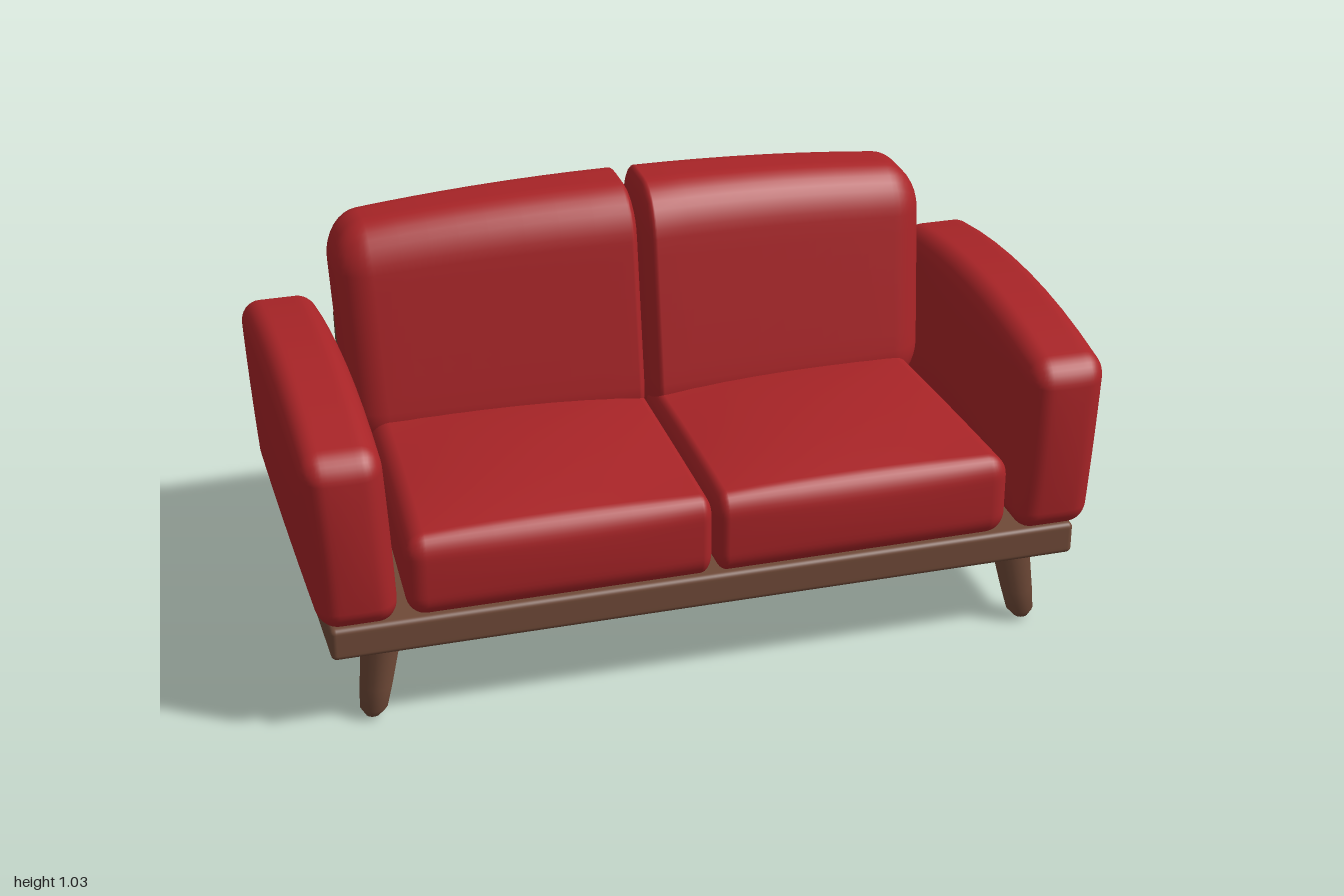
import * as THREE from 'three';
import { mergeVertices } from 'three/addons/utils/BufferGeometryUtils.js';

const red = new THREE.MeshStandardMaterial({ color: 0xa82427 });
red.name = 'red upholstery';
const brown = new THREE.MeshStandardMaterial({ color: 0x704a38 });
brown.name = 'brown wood';

// Rounded block between [lo, hi] limits on each axis. x is measured outward on the
// given side (1 = left, -1 = right). r = [inner x, outer x, y, z] corner radii.
// warp(p, n) bends point p, with n its place in the block from -1 to 1.
function softBlock(x, y, z, r, side = 1, warp = () => {}) {
  let geometry = new THREE.BoxGeometry(2, 2, 2, 16, 16, 16);
  geometry.deleteAttribute('uv');
  geometry.deleteAttribute('normal');
  const pos = geometry.attributes.position;
  const limits = [x, y, z];
  const radii = [[r[0], r[1]], [r[2], r[2]], [r[3], r[3]]];
  for (let i = 0; i < pos.count; i++) {
    const grid = [side * pos.getX(i), pos.getY(i), pos.getZ(i)];
    const edge = new THREE.Vector3();
    const core = [], rad = [];
    grid.forEach((t, k) => {
      const [lo, hi] = limits[k];
      const a = Math.abs(t), s = Math.sign(t);
      rad[k] = radii[k][t < 0 ? 0 : 1];
      core[k] = (lo + hi) / 2 + s * Math.min(1, a * 2) * ((hi - lo) / 2 - rad[k]);
      edge.setComponent(k, s * Math.tan(Math.max(0, a * 2 - 1) * Math.PI / 4));
    });
    edge.normalize();
    const p = new THREE.Vector3(...core.map((c, k) => c + edge.getComponent(k) * rad[k]));
    const n = new THREE.Vector3(...limits.map(([lo, hi], k) =>
      (2 * p.getComponent(k) - lo - hi) / (hi - lo)));
    warp(p, n);
    pos.setXYZ(i, side * p.x, p.y, p.z);
  }
  geometry = mergeVertices(geometry, 1e-5);
  geometry.computeVertexNormals();
  return geometry;
}

const bulge = (a, b = 0) => (1 - a * a) * (1 - b * b);

// Arm: leans outward, domed along its top, back edge slopes
function armGeometry(side) {
  return softBlock([0.772, 0.965], [0.3, 0.748], [-0.475, 0.485], [0.05, 0.05, 0.055, 0.055], side, (p, n) => {
    const up = (n.y + 1) / 2;
    p.x += 0.025 * up + 0.011 * n.x * bulge(n.y, n.z);
    p.y += 0.053 * up * bulge(n.z);
    p.z += 0.013 * n.z * bulge(n.x, n.y);
    if (n.z < 0) p.z -= n.z * 0.04 * (1 - up);
  });
}

// Seat cushion: domed top, slightly narrower toward the back
function seatGeometry(side) {
  return softBlock([0.004, 0.755], [0.298, 0.51], [-0.2, 0.468], [0.03, 0.05, 0.055, 0.04], side, (p, n) => {
    p.x *= 1 - 0.025 * (1 - n.z);
    p.y += 0.035 * (n.y + 1) / 2 * bulge(n.x, n.z);
    p.z += 0.008 * n.z * bulge(n.x, n.y);
  });
}

// Back cushion: leans back, top falls and front recedes toward the outside
function backGeometry(side) {
  return softBlock([0.004, 0.775], [0.42, 1.037], [-0.43, -0.15], [0.03, 0.09, 0.12, 0.1], side, (p, n) => {
    const out = p.x / 0.775, up = (n.y + 1) / 2;
    p.z -= 0.17 * (p.y - 0.85) + 0.05 * out * (n.z + 1) / 2;
    p.x -= 0.02 * out * (1 - up);
    p.y -= 0.05 * out * out * up;
  });
}

// Tapered, splayed leg with a blunt tip
function legGeometry(side, topZ, footZ) {
  const profile = [[0, 0.003], [0.018, 0.012], [0.034, 0.033], [0.04, 0.09], [0.05, 0.225]]
    .map(([x, y]) => new THREE.Vector2(x, y));
  const geometry = new THREE.LatheGeometry(profile, 16);
  const pos = geometry.attributes.position;
  for (let i = 0; i < pos.count; i++) {
    const up = pos.getY(i) / 0.21;
    pos.setX(i, pos.getX(i) + side * (0.84 - 0.034 * up));
    pos.setZ(i, pos.getZ(i) + footZ + (topZ - footZ) * up);
  }
  return geometry;
}

export function createModel() {
  const model = new THREE.Group();
  model.name = 'sofa';
  const add = (name, geometry, material) => {
    const mesh = new THREE.Mesh(geometry, material);
    mesh.name = name;
    model.add(mesh);
  };

  // Wooden frame
  add('baseFrame', softBlock([-0.938, 0.938], [0.21, 0.295], [-0.438, 0.455],
    [0.014, 0.014, 0.014, 0.014]), brown);
  add('backPanel', softBlock([-0.745, 0.745], [0.25, 0.685], [-0.438, -0.373],
    [0.012, 0.012, 0.012, 0.012], 1, (p, n) => {
      p.z -= 0.155 * (p.y - 0.285);
      p.y += 0.006 * n.z * (n.y + 1) / 2;
    }), brown);

  // Mirrored upholstery and legs
  for (const [label, side] of [['left', 1], ['right', -1]]) {
    add(label + 'Arm', armGeometry(side), red);
    add(label + 'SeatCushion', seatGeometry(side), red);
    add(label + 'BackCushion', backGeometry(side), red);
    add(label + 'FrontLeg', legGeometry(side, 0.368, 0.39), brown);
    add(label + 'BackLeg', legGeometry(side, -0.346, -0.37), brown);
  }
  return model;
}
